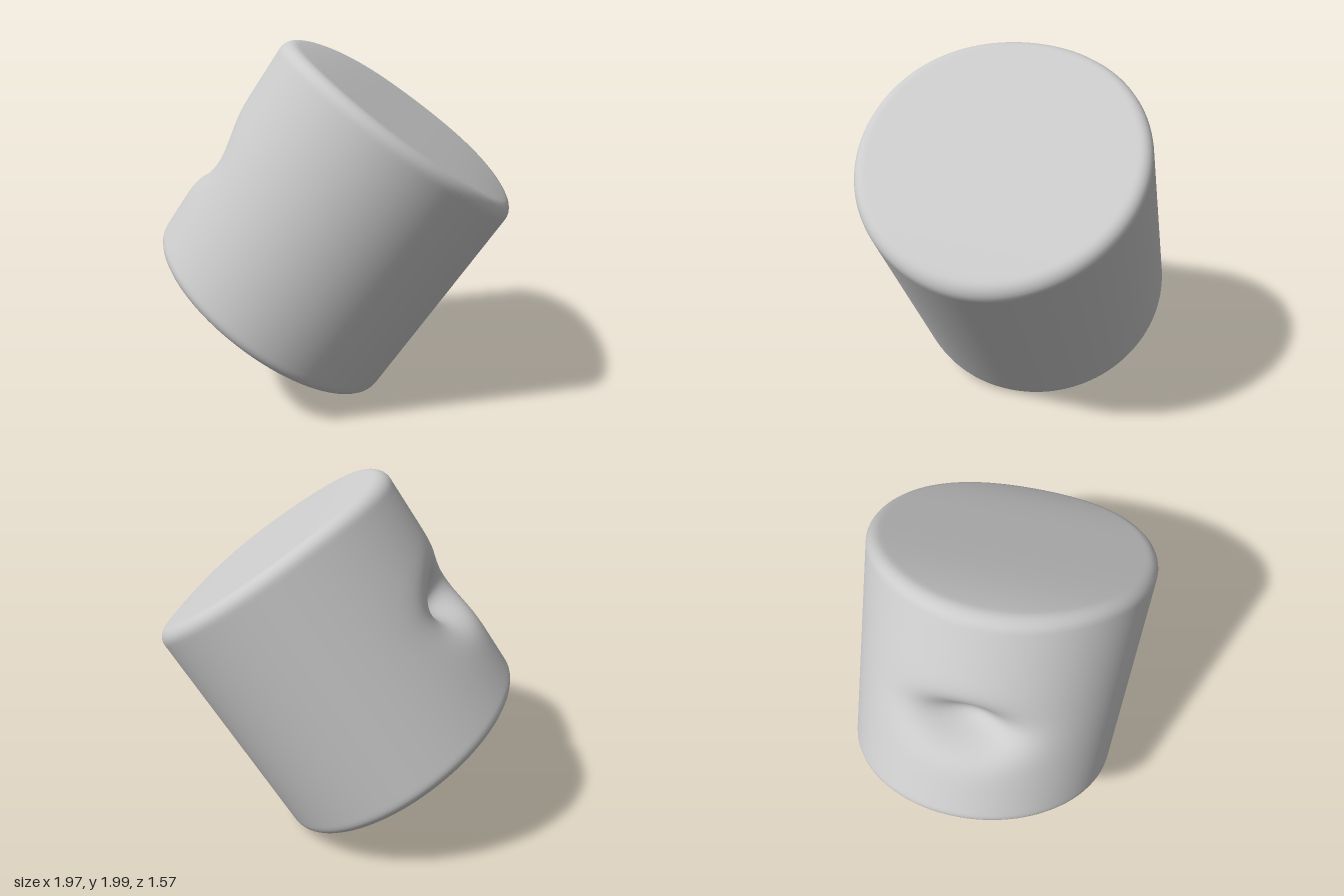
import * as THREE from 'three';
import { mergeVertices } from 'three/addons/utils/BufferGeometryUtils.js';

const R = 0.772;       // body radius
const TOP = 0.725;     // cap heights along the axis
const BOTTOM = -0.685;
const ROUND = 0.065;   // rim rounding

// Half profile along the axis: flat caps, tight rounded rims, straight side.
function bodyProfile() {
  const path = new THREE.Path();
  path.moveTo(0, BOTTOM);
  path.lineTo(R - ROUND, BOTTOM);
  path.absarc(R - ROUND, BOTTOM + ROUND, ROUND, -Math.PI / 2, 0, false);
  path.lineTo(R, TOP - ROUND);
  path.absarc(R - ROUND, TOP - ROUND, ROUND, 0, Math.PI / 2, false);
  path.lineTo(0, TOP);
  const points = path.getSpacedPoints(160);
  points[0].x = points[points.length - 1].x = 0;
  return points;
}

function shapeBody(geometry) {
  const p = geometry.attributes.position;
  for (let i = 0; i < p.count; i++) {
    let x = p.getX(i), y = p.getY(i);
    const z = p.getZ(i);
    const dentY = (y + 0.015) / (y > -0.015 ? 0.1 : 0.115);
    const dentZ = z / 0.17;

    // Slanted caps; the top one also droops towards both ends of x
    const w = Math.min(1, Math.abs(y) / 0.65);
    const slant = y > 0
      ? 0.035 * z - 0.03 * x - 0.045 * (x / R) ** 4
      : 0.06 * z - 0.03 * x;
    y += w * slant;

    // Thumb-like dent pressed into the flank
    if (x < 0) {
      x += 0.2 * Math.exp(-0.5 * (dentY ** 2 + dentZ ** 2)) * Math.min(1, -x / 0.3);
    }
    p.setXYZ(i, x, y, z);
  }
}

export function createModel() {
  const group = new THREE.Group();
  group.name = 'dentedCylinder';

  // Weld the seam so the shading stays smooth all round
  let geometry = new THREE.LatheGeometry(bodyProfile(), 128);
  geometry.deleteAttribute('uv');
  geometry.deleteAttribute('normal');
  geometry = mergeVertices(geometry, 1e-4);
  shapeBody(geometry);

  // Tip the body over, then stand it centred on the ground
  const tilt = new THREE.Euler(-0.025, 0, THREE.MathUtils.degToRad(-34), 'ZYX');
  geometry.applyMatrix4(new THREE.Matrix4().makeRotationFromEuler(tilt));
  geometry.center();
  geometry.computeBoundingBox();
  geometry.translate(0, -geometry.boundingBox.min.y, 0);
  geometry.computeVertexNormals();

  const body = new THREE.Mesh(geometry,
    new THREE.MeshStandardMaterial({ color: 0xcccccc }));
  body.name = 'body';
  group.add(body);
  return group;
}
